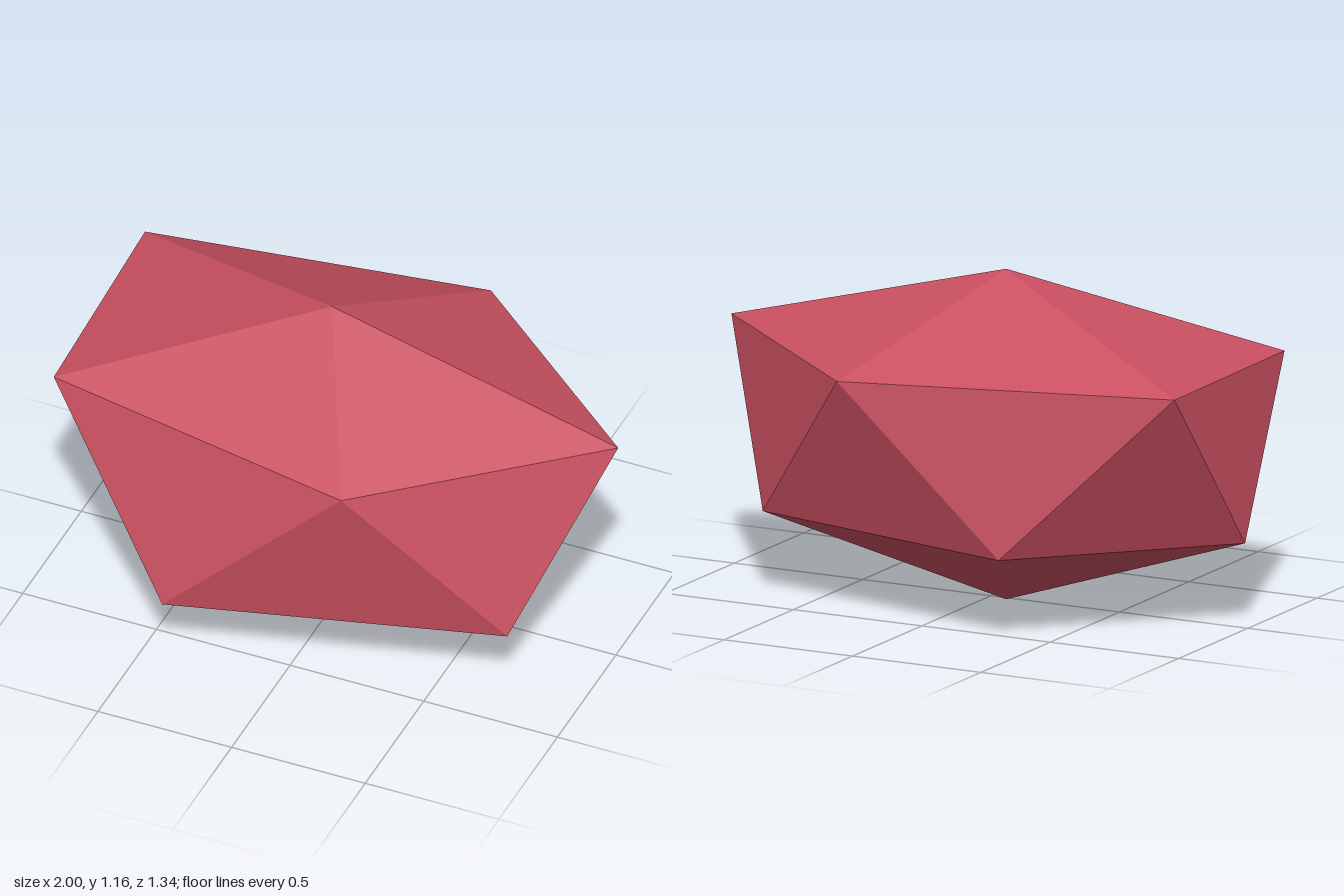
import * as THREE from 'three';

// Faceted stone: two staggered five-point rings closed by a top and a bottom point
export function createModel() {
  const group = new THREE.Group();
  group.name = 'facetedStone';

  const top = [-0.07, 1.165, -0.02];
  const bottom = [-0.07, 0, -0.02];
  // Rings run from +x round through +z
  const upper = [
    [1.0, 0.885, -0.02], [0.24, 0.87, 0.613], [-0.93, 0.887, 0.395],
    [-0.963, 0.898, -0.46], [0.24, 0.87, -0.668],
  ];
  const lower = [
    [0.76, 0.277, 0.38], [-0.405, 0.258, 0.668], [-1.0, 0.304, -0.02],
    [-0.365, 0.298, -0.622], [0.68, 0.303, -0.387],
  ];

  const corners = [];
  for (let i = 0; i < 5; i++) {
    const j = (i + 1) % 5;
    corners.push(top, upper[j], upper[i]); // crown
    corners.push(upper[i], upper[j], lower[i]); // band, pointing down
    corners.push(lower[i], upper[j], lower[j]); // band, pointing up
    corners.push(lower[i], lower[j], bottom); // base
  }

  const geometry = new THREE.BufferGeometry();
  geometry.setAttribute('position', new THREE.Float32BufferAttribute(corners.flat(), 3));
  geometry.computeVertexNormals();

  const stoneRed = new THREE.MeshStandardMaterial({ color: 0xc95060, flatShading: true });
  stoneRed.name = 'stone red';
  const stone = new THREE.Mesh(geometry, stoneRed);
  stone.name = 'stone';
  group.add(stone);
  return group;
}
